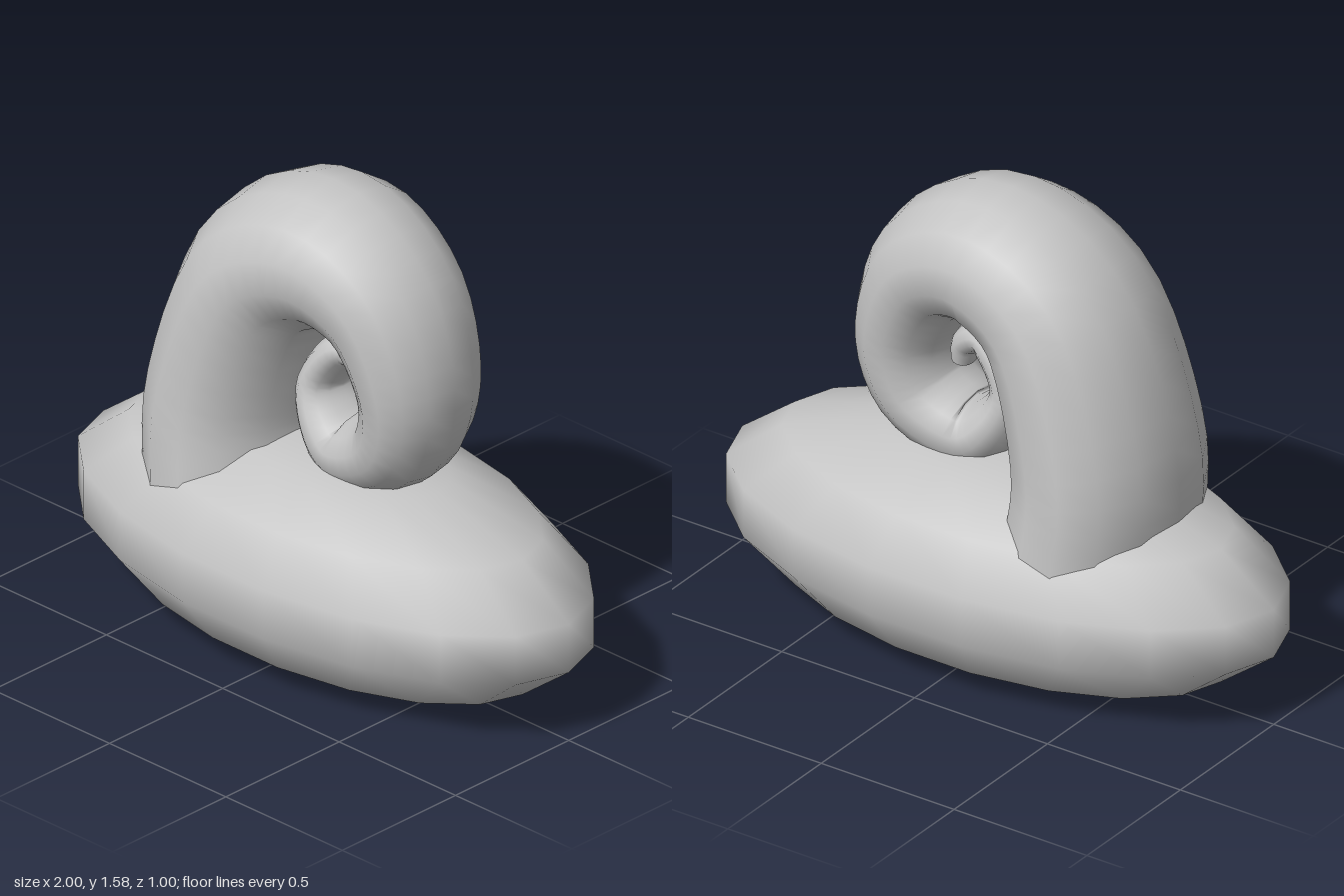
import * as THREE from 'three';

const SIDES = 14;
const STEPS = 56;

// Spiral stations from the base to the tip: centre x, centre y, in-plane radius, z radius
const STATIONS = [
  [-0.36, 0.45, 0.27, 0.4],
  [-0.375, 0.78, 0.265, 0.365],
  [-0.24, 1.2, 0.255, 0.325],
  [0.01, 1.342, 0.243, 0.29],
  [0.245, 1.25, 0.2, 0.255],
  [0.355, 1.0, 0.158, 0.225],
  [0.3, 0.79, 0.14, 0.2],
  [0.11, 0.7, 0.12, 0.17],
  [0, 0.78, 0.09, 0.145],
  [-0.035, 0.9, 0.067, 0.115],
  [0.06, 1.03, 0.06, 0.09],
  [0.145, 0.99, 0.048, 0.065],
  [0.165, 0.92, 0.035, 0.05],
];

// Flattened-bottom ellipsoid
function bodyGeometry() {
  const geometry = new THREE.SphereGeometry(1, 18, 7);
  geometry.scale(1.026, 0.376, 0.521);
  geometry.translate(0, 0.321, 0);
  const pos = geometry.attributes.position;
  for (let i = 0; i < pos.count; i++) pos.setY(i, Math.max(0, pos.getY(i)));
  return geometry;
}

// Tapering elliptical tube swept along the spiral
function coilGeometry() {
  const curve = (f) => new THREE.CatmullRomCurve3(STATIONS.map(f), false, 'catmullrom', 0.5);
  const path = curve((s) => new THREE.Vector3(s[0], s[1], 0));
  const size = curve((s) => new THREE.Vector3(s[2], s[3], 0));
  const positions = [];
  const index = [];
  for (let i = 0; i <= STEPS; i++) {
    const t = i / STEPS;
    const c = path.getPoint(t);
    const tan = path.getTangent(t);
    const r = size.getPoint(t);
    for (let j = 0; j < SIDES; j++) {
      const a = (j / SIDES) * Math.PI * 2;
      const out = Math.cos(a) * r.x;
      positions.push(c.x - tan.y * out, c.y + tan.x * out, Math.sin(a) * r.y);
      if (i < STEPS) {
        const p = i * SIDES + j;
        const q = i * SIDES + ((j + 1) % SIDES);
        index.push(p, p + SIDES, q, q, p + SIDES, q + SIDES);
      }
    }
  }
  // Flat caps with their own vertices
  for (const [ring, flip] of [[0, false], [STEPS, true]]) {
    const base = positions.length / 3;
    for (let k = 0; k < SIDES * 3; k++) positions.push(positions[ring * SIDES * 3 + k]);
    for (let j = 1; j < SIDES - 1; j++) {
      if (flip) index.push(base, base + j + 1, base + j);
      else index.push(base, base + j, base + j + 1);
    }
  }
  // Make sure the sweep faces outwards
  const geometry = new THREE.BufferGeometry();
  geometry.setAttribute('position', new THREE.Float32BufferAttribute(positions, 3));
  const v = [0, 1, 2].map((k) => new THREE.Vector3().fromArray(positions, index[k] * 3));
  const normal = v[1].clone().sub(v[0]).cross(v[2].clone().sub(v[0]));
  const centre = path.getPoint(0);
  if (normal.dot(v[0].clone().sub(centre)) < 0) index.reverse();
  geometry.setIndex(index);
  geometry.computeVertexNormals();
  return geometry;
}

export function createModel() {
  const group = new THREE.Group();
  group.name = 'spiralShell';
  const grey = new THREE.MeshStandardMaterial({ color: 0xc4c4c4 });
  grey.name = 'lightGrey';

  const body = new THREE.Mesh(bodyGeometry(), grey);
  body.name = 'body';
  const coil = new THREE.Mesh(coilGeometry(), grey);
  coil.name = 'coil';
  group.add(body, coil);
  return group;
}
